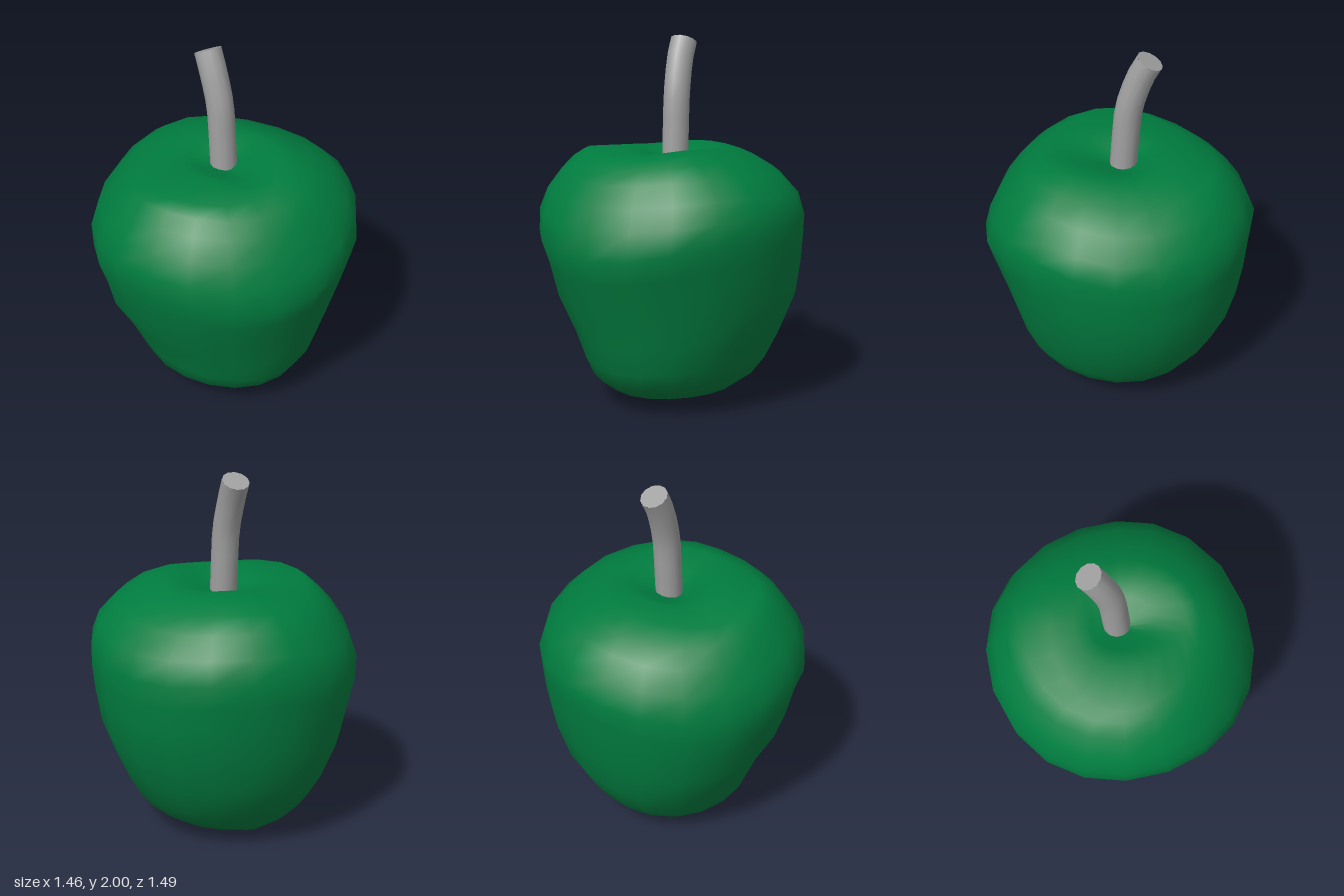
import * as THREE from 'three';

const SEGMENTS = 20;

// Cross-sections: height, then reach to -x, +x, +z (front) and -z (back)
const RINGS = [
  [0.04, 0.0, 0.0, 0.0, 0.0],
  [0.0, 0.17, 0.06, 0.14, 0.25],
  [0.03, 0.25, 0.16, 0.23, 0.34],
  [0.08, 0.36, 0.36, 0.39, 0.41],
  [0.15, 0.44, 0.46, 0.49, 0.48],
  [0.25, 0.48, 0.535, 0.55, 0.55],
  [0.4, 0.54, 0.61, 0.59, 0.635],
  [0.6, 0.645, 0.69, 0.645, 0.685],
  [0.78, 0.685, 0.715, 0.705, 0.715],
  [0.91, 0.73, 0.725, 0.745, 0.725],
  [1.04, 0.73, 0.73, 0.71, 0.74],
  [1.16, 0.685, 0.695, 0.655, 0.69],
  [1.27, 0.605, 0.59, 0.58, 0.61],
  [1.34, 0.54, 0.46, 0.51, 0.52],
  [1.38, 0.48, 0.36, 0.42, 0.38],
  [1.4, 0.24, 0.27, 0.34, 0.25],
  [1.365, 0.15, 0.16, 0.18, 0.16],
  [1.32, 0.0, 0.0, 0.0, 0.0],
];

function createBody() {
  const positions = [];
  const indices = [];
  for (const [y, left, right, front, back] of RINGS) {
    for (let i = 0; i < SEGMENTS; i++) {
      const a = (i / SEGMENTS) * Math.PI * 2;
      const x = Math.cos(a) * (Math.cos(a) > 0 ? right : left);
      const z = Math.sin(a) * (Math.sin(a) > 0 ? front : back);
      // The bulge rides higher at the front left corner, lower at the opposite one
      const lobe = Math.sin(2 * a) * Math.cos(a - Math.PI / 4);
      const lean = 0.11 * Math.hypot(x, z) * Math.sin((Math.PI * Math.min(y, 1.2)) / 1.5);
      positions.push(x, y + lean * lobe, z);
    }
  }
  for (let r = 0; r < RINGS.length - 1; r++) {
    for (let i = 0; i < SEGMENTS; i++) {
      const a = r * SEGMENTS + i;
      const b = r * SEGMENTS + ((i + 1) % SEGMENTS);
      const c = a + SEGMENTS;
      const d = b + SEGMENTS;
      // The end rings are single points, so they need one triangle per side
      if (r > 0) indices.push(a, c, b);
      if (r < RINGS.length - 2) indices.push(b, c, d);
    }
  }
  const geometry = new THREE.BufferGeometry();
  geometry.setAttribute('position', new THREE.Float32BufferAttribute(positions, 3));
  geometry.setIndex(indices);
  geometry.computeVertexNormals();
  return geometry;
}

export function createModel() {
  const group = new THREE.Group();
  const green = new THREE.MeshStandardMaterial({ color: 0x007c3f });
  green.name = 'green skin';
  const grey = new THREE.MeshStandardMaterial({ color: 0xa0a0a0 });
  grey.name = 'grey stem';

  // Apple body with a shallow dimple at each end
  const body = new THREE.Mesh(createBody(), green);
  body.name = 'appleBody';
  group.add(body);

  // Stem bending towards the back
  const radius = 0.073;
  const path = new THREE.CatmullRomCurve3([
    new THREE.Vector3(0.012, 1.3, -0.02),
    new THREE.Vector3(0.012, 1.5, -0.033),
    new THREE.Vector3(0.012, 1.69, -0.052),
    new THREE.Vector3(0.012, 1.88, -0.113),
    new THREE.Vector3(0.018, 1.963, -0.156),
  ]);
  const stem = new THREE.Mesh(new THREE.TubeGeometry(path, 8, radius, 12), grey);
  stem.name = 'stem';
  group.add(stem);

  // Flat cut end of the stem
  const stemEnd = new THREE.Mesh(new THREE.CircleGeometry(radius, 12), grey);
  stemEnd.name = 'stemEnd';
  stemEnd.position.copy(path.getPoint(1));
  stemEnd.quaternion.setFromUnitVectors(new THREE.Vector3(0, 0, 1), path.getTangent(1));
  group.add(stemEnd);

  return group;
}
